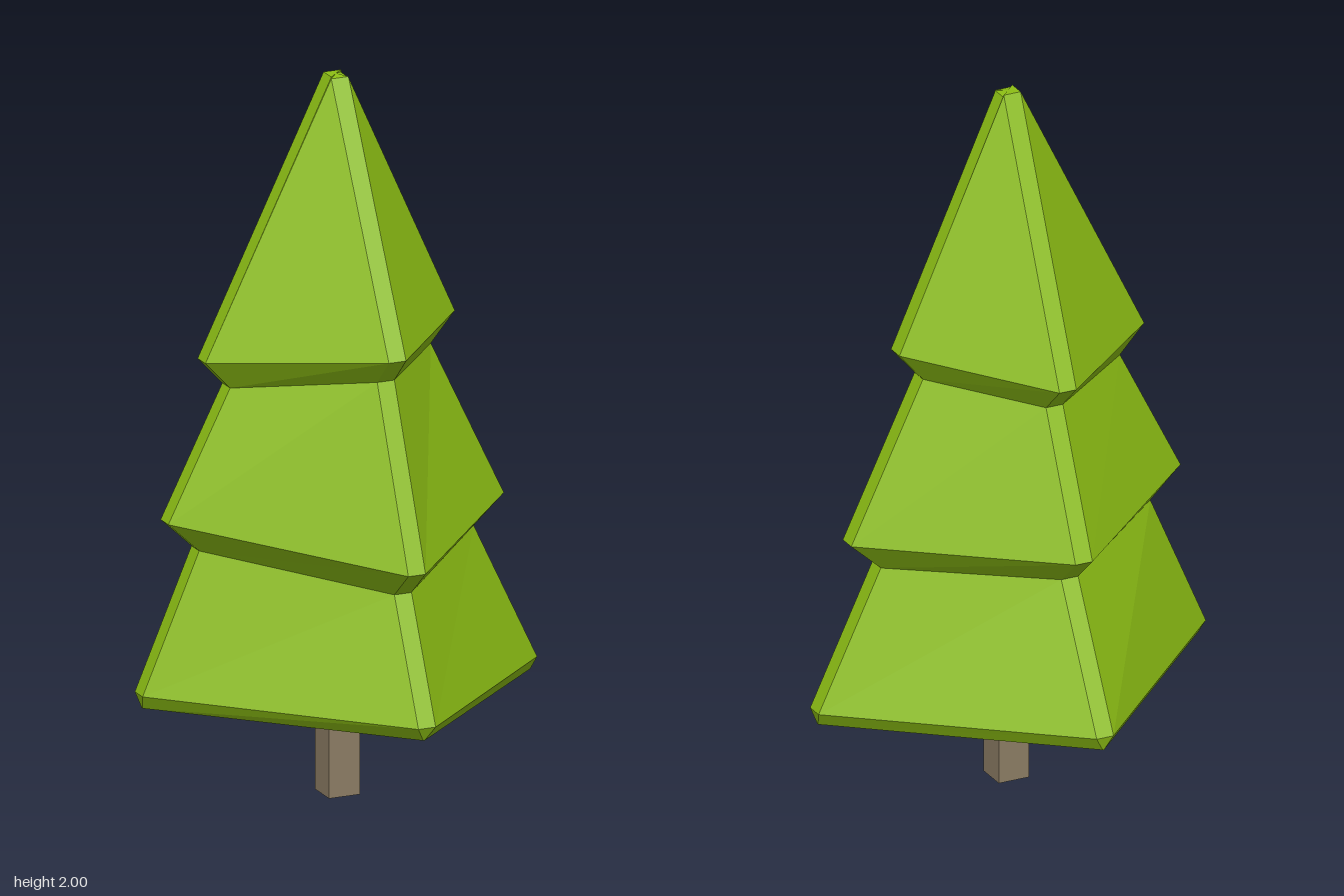
import * as THREE from 'three';

// Crown cross-sections, bottom to top: half-width of the cut corner, then
// [reach, height] of the corners pointing to +x, -z, -x and +z
const RINGS = [
  { cut: 0.002, corners: [[0.565, 0.265], [0.565, 0.305], [0.565, 0.305], [0.565, 0.305]] },
  { cut: 0.025, corners: [[0.575, 0.305], [0.575, 0.345], [0.575, 0.345], [0.585, 0.345]] },
  { cut: 0.025, corners: [[0.39, 0.695], [0.365, 0.725], [0.41, 0.73], [0.43, 0.675]] },
  { cut: 0.025, corners: [[0.478, 0.775], [0.45, 0.802], [0.5, 0.815], [0.52, 0.752]] },
  { cut: 0.025, corners: [[0.265, 1.22], [0.275, 1.19], [0.32, 1.172], [0.32, 1.235]] },
  { cut: 0.025, corners: [[0.335, 1.302], [0.355, 1.265], [0.392, 1.25], [0.395, 1.31]] },
  { cut: 0.025, corners: [[0.025, 1.993], [0.025, 2], [0.025, 2], [0.025, 1.995]] },
];
const DIRECTIONS = [[1, 0], [0, -1], [-1, 0], [0, 1]];
const AXIS_Z = -0.01;

// Skin of three crooked tiers, closed at both ends
function crownGeometry() {
  const positions = [];
  const index = [];
  const sides = 8;
  for (const { cut, corners } of RINGS) {
    corners.forEach(([reach, y], k) => {
      const [dx, dz] = DIRECTIONS[k];
      const [tx, tz] = DIRECTIONS[(k + 1) % 4];
      for (const s of [-cut, cut]) {
        positions.push(dx * reach + tx * s, y, AXIS_Z + dz * reach + tz * s);
      }
    });
  }
  for (let i = 0; i < RINGS.length - 1; i++) {
    for (let j = 0; j < sides; j++) {
      const a = i * sides + j;
      const b = i * sides + (j + 1) % sides;
      index.push(a, b, b + sides, a, b + sides, a + sides);
    }
  }
  // End caps
  const bottom = positions.length / 3;
  positions.push(0, 0.285, AXIS_Z, 0, 2, AXIS_Z);
  const last = (RINGS.length - 1) * sides;
  for (let j = 0; j < sides; j++) {
    const next = (j + 1) % sides;
    index.push(bottom, next, j, bottom + 1, last + j, last + next);
  }
  const geometry = new THREE.BufferGeometry();
  geometry.setAttribute('position', new THREE.Float32BufferAttribute(positions, 3));
  geometry.setIndex(index);
  geometry.computeVertexNormals();
  return geometry;
}

export function createModel() {
  const tree = new THREE.Group();
  tree.name = 'tree';

  const crown = new THREE.Mesh(
    crownGeometry(),
    new THREE.MeshStandardMaterial({ color: 0x8cbe14, flatShading: true })
  );
  crown.name = 'crown';

  // Square trunk, reaching just inside the crown
  const trunk = new THREE.Mesh(
    new THREE.BoxGeometry(0.09, 0.32, 0.09),
    new THREE.MeshStandardMaterial({ color: 0x8c7d64, flatShading: true })
  );
  trunk.name = 'trunk';
  trunk.position.y = 0.16;

  tree.add(crown, trunk);
  return tree;
}
